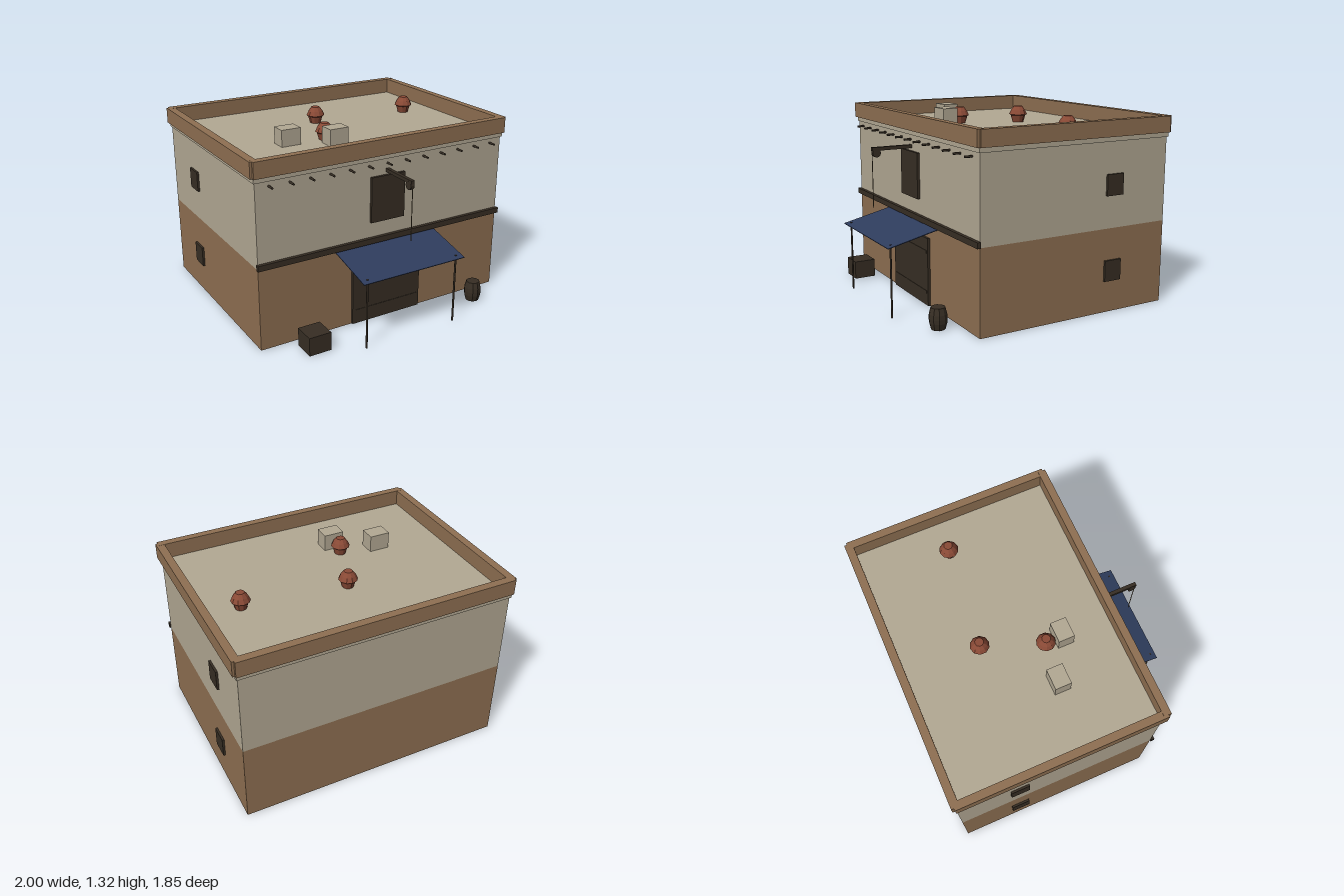
import * as THREE from 'three';

const mat = (name, color, extra = {}) => {
  const m = new THREE.MeshStandardMaterial({ color, ...extra });
  m.name = name;
  return m;
};

export function createModel() {
  const model = new THREE.Group();
  model.name = 'warehouse';
  const plaster = mat('pale plaster', 0xb3a994);
  const mud = mat('brown clay', 0x8f7052);
  const wood = mat('dark wood', 0x372e24);
  const cloth = mat('blue cloth', 0x2f3d5e, { side: THREE.DoubleSide });
  const clay = mat('red clay', 0x8a4a36, { flatShading: true });
  const barrelWood = mat('barrel wood', 0x372e24, { flatShading: true });
  const ropeMat = mat('rope', 0x66573f);

  const add = (name, geo, material, x = 0, y = 0, z = 0) => {
    const m = new THREE.Mesh(geo, material);
    m.name = name;
    m.position.set(x, y, z);
    model.add(m);
    return m;
  };
  // Box given by its extents along each axis
  const box = (name, material, [x0, x1], [y0, y1], [z0, z1]) =>
    add(name, new THREE.BoxGeometry(x1 - x0, y1 - y0, z1 - z0), material,
      (x0 + x1) / 2, (y0 + y1) / 2, (z0 + z1) / 2);
  const lathe = (pts, sides) =>
    new THREE.LatheGeometry(pts.map(([r, y]) => new THREE.Vector2(r, y)), sides);

  const front = 0.562, back = -0.9, deck = 1.203, top = 1.315;

  // Two storeys and the roof slab
  box('lowerStorey', mud, [-0.97, 0.97], [0, 0.585], [back, front]);
  box('upperStorey', plaster, [-0.97, 0.97], [0.585, 1.17], [back, front]);
  box('roofSlab', plaster, [-0.979, 0.979], [1.17, deck], [back - 0.009, front + 0.009]);

  // Parapet: long walls and slightly prouder end walls
  box('parapetFront', mud, [-0.984, 0.984], [deck, top], [0.536, 0.59]);
  box('parapetBack', mud, [-0.984, 0.984], [deck, top], [-0.924, -0.868]);
  for (const s of [-1, 1]) {
    const name = s > 0 ? 'parapetLeft' : 'parapetRight';
    box(name, mud, s > 0 ? [0.944, 1] : [-1, -0.944], [deck, top - 0.001], [-0.905, 0.572]);
  }

  // Floor band, doors and door straps
  box('floorBand', wood, [-0.98, 0.98], [0.585, 0.625], [front, 0.587]);
  box('mainDoor', wood, [-0.278, 0.278], [0.004, 0.488], [front, 0.581]);
  for (const y of [0.1, 0.39])
    box('doorStrap', wood, [-0.26, 0.26], [y - 0.01, y + 0.01], [0.581, 0.584]);
  box('loadingDoor', wood, [-0.133, 0.133], [0.735, 1.058], [front, 0.581]);

  // Side windows, one per storey on each side
  for (const s of [-1, 1])
    for (const y of [0.293, 0.882])
      add('sideWindow', new THREE.BoxGeometry(0.03, 0.145, 0.133), wood, s * 0.97, y, -0.461);

  // Row of roof beam ends
  const peg = new THREE.CylinderGeometry(0.008, 0.008, 0.06, 6).rotateX(Math.PI / 2);
  for (let i = -6; i <= 6; i++) add('beamEnd', peg, wood, i * 0.1457, 1.137, 0.586);

  // Hoist with pulley and rope
  box('hoistBeam', wood, [-0.013, 0.013], [1.076, 1.1], [front, 0.855]);
  add('hoistPulley', new THREE.CylinderGeometry(0.03, 0.03, 0.028, 12).rotateZ(Math.PI / 2),
    wood, 0, 1.06, 0.824);
  add('hoistRope', new THREE.CylinderGeometry(0.003, 0.003, 0.38, 6), ropeMat, 0, 0.87, 0.853);

  // Sloping awning on two posts
  const run = 0.362, drop = 0.083;
  const awning = add('awning', new THREE.BoxGeometry(0.806, 0.005, Math.hypot(run, drop)),
    cloth, 0, 0.533, front + run / 2);
  awning.rotation.x = Math.atan2(drop, run);
  for (const s of [-1, 1])
    add('awningPost', new THREE.CylinderGeometry(0.007, 0.007, 0.507, 8), wood, s * 0.356, 0.2535, 0.887);

  // Crate and barrel by the wall
  box('crate', wood, [-0.73, -0.568], [0, 0.133], [0.63, 0.788]);
  add('barrel', lathe([[0, 0], [0.048, 0], [0.06, 0.045], [0.062, 0.074], [0.06, 0.103],
    [0.048, 0.148], [0, 0.148]], 10), barrelWood, 0.68, 0, 0.707);

  // Rooftop boxes and pots
  box('roofBox', plaster, [-0.545, -0.398], [deck, 1.322], [-0.022, 0.092]);
  box('roofBox', plaster, [-0.257, -0.112], [deck, 1.322], [0.134, 0.247]);
  const pot = lathe([[0, 0], [0.04, 0], [0.055, 0.05], [0.067, 0.058], [0.052, 0.09],
    [0.03, 0.119], [0, 0.119]], 10);
  for (const [x, z] of [[-0.045, -0.347], [0.695, -0.27], [-0.2, 0.066]])
    add('roofPot', pot, clay, x, deck, z);

  return model;
}
